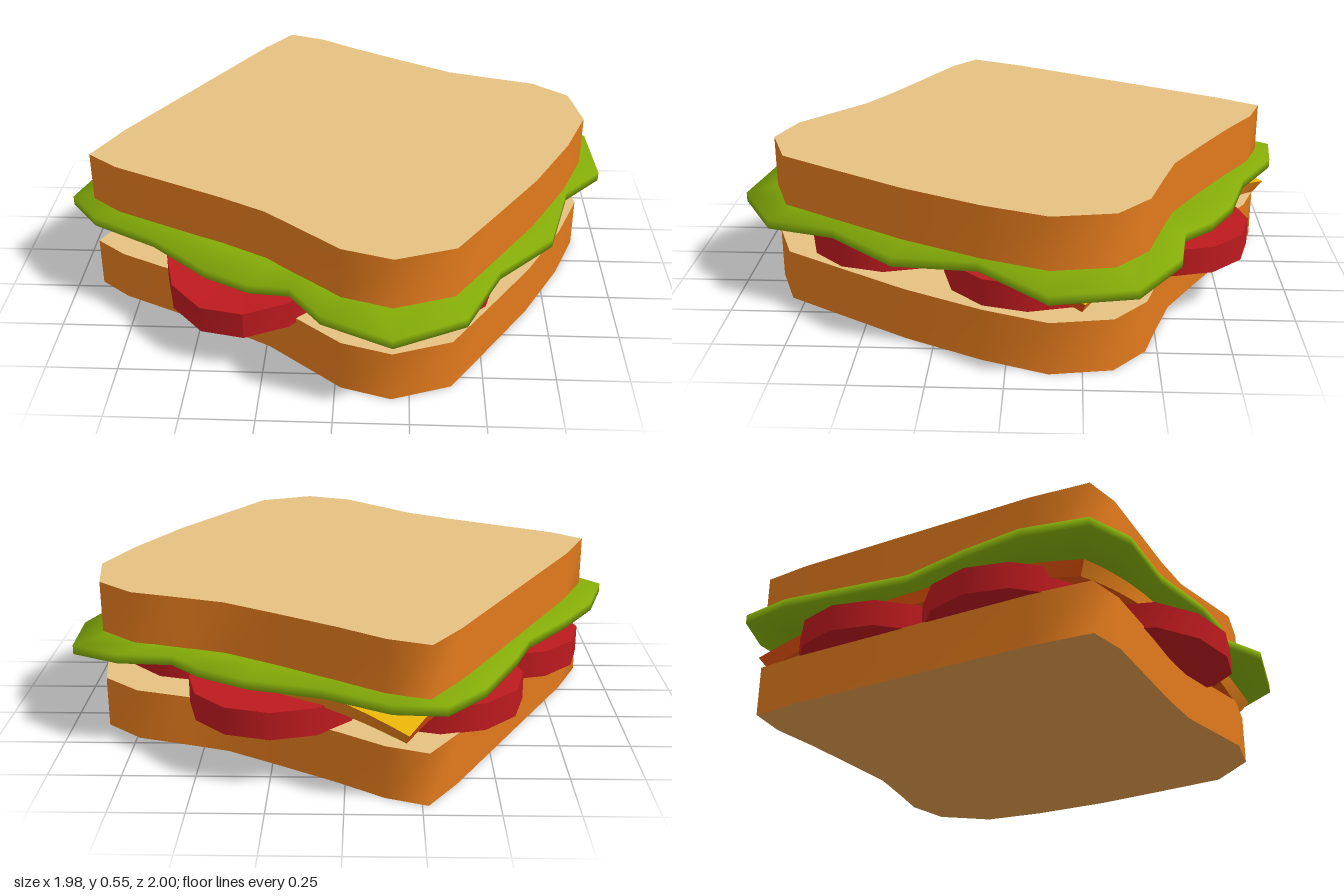
import * as THREE from 'three';
import { toCreasedNormals } from 'three/addons/utils/BufferGeometryUtils.js';

const mat = (name, color) => {
  const m = new THREE.MeshStandardMaterial({ color });
  m.name = name;
  return m;
};

// Slice outline as [x, z]
const BREAD = [
  [-0.27, -0.94], [-0.13, -0.89], [0.02, -0.79], [0.22, -0.67], [0.41, -0.56], [0.57, -0.51],
  [0.74, -0.46], [0.87, -0.35], [0.905, -0.14], [0.82, 0.08], [0.68, 0.35], [0.52, 0.6],
  [0.39, 0.8], [0.19, 0.875], [0.02, 0.82], [-0.24, 0.6], [-0.4, 0.51], [-0.8, 0.31],
  [-0.91, 0.22], [-0.82, 0.02], [-0.37, -0.79],
];

// Wavy leaf rim as [x, z, y of the underside]
const LEAF = [
  [-0.32, -1.0, 0.34], [-0.15, -0.98, 0.335], [0.07, -0.85, 0.33], [0.32, -0.78, 0.33],
  [0.49, -0.69, 0.335], [0.59, -0.59, 0.335], [0.78, -0.565, 0.33], [0.965, -0.42, 0.305],
  [0.985, -0.14, 0.287], [0.83, 0.09, 0.325], [0.75, 0.38, 0.3], [0.55, 0.61, 0.31],
  [0.43, 0.86, 0.29], [0.19, 0.995, 0.297], [-0.04, 0.92, 0.33], [-0.15, 0.77, 0.33],
  [-0.29, 0.73, 0.312], [-0.45, 0.64, 0.31], [-0.65, 0.47, 0.32], [-0.88, 0.35, 0.33],
  [-0.99, 0.21, 0.335], [-0.92, -0.01, 0.335], [-0.8, -0.19, 0.33], [-0.64, -0.39, 0.325],
  [-0.58, -0.55, 0.325], [-0.45, -0.84, 0.335],
];

// Smooth skin between closed rings of [x, y, z], listed from the bottom up
function loft(rings) {
  const n = rings[0].length, index = [];
  for (let r = 0; r < rings.length - 1; r++) {
    for (let i = 0; i < n; i++) {
      const a = r * n + i, b = r * n + (i + 1) % n;
      index.push(b, a, a + n, b, a + n, b + n);
    }
  }
  const g = new THREE.BufferGeometry();
  g.setAttribute('position', new THREE.Float32BufferAttribute(rings.flat(2), 3));
  g.setIndex(index);
  return toCreasedNormals(g, 2.4);
}

// Rectangular patch bent by a rule f(s, t), with s and t from -1 to 1
function patch(f, ns, nt) {
  const g = new THREE.PlaneGeometry(2, 2, ns, nt), p = g.attributes.position;
  for (let i = 0; i < p.count; i++) p.setXYZ(i, ...f(p.getX(i), p.getY(i)));
  g.computeVertexNormals();
  return g;
}

export function createModel() {
  const model = new THREE.Group();
  model.name = 'sandwich';
  const crust = mat('crust', 0xe27a1c);
  const crumb = mat('crumb', 0xe5c080);
  const toasted = mat('toasted underside', 0xe29c4c);
  const green = mat('lettuce green', 0x84ac08);
  const red = mat('tomato red', 0xbd1a1e);
  const yellow = mat('cheese yellow', 0xe8b408);
  const orange = mat('cheese orange', 0xe27e18);
  const deepOrange = mat('cheese deep orange', 0xde5008);

  const add = (parent, name, geometry, material) => {
    const m = new THREE.Mesh(geometry, material);
    m.name = name;
    parent.add(m);
    return m;
  };
  const group = (name) => {
    const g = new THREE.Group();
    g.name = name;
    model.add(g);
    return g;
  };

  // Bread slices: crust wall plus two flat faces
  const cap = (sign) => new THREE.ShapeGeometry(new THREE.Shape(
    BREAD.map(([x, z]) => new THREE.Vector2(x, -sign * z)))).rotateX(-sign * Math.PI / 2);
  for (const [name, y0, y1] of [['bottomBread', 0, 0.185], ['topBread', 0.367, 0.55]]) {
    const slice = group(name);
    const ring = (y) => BREAD.map(([x, z]) => [x, y, z]);
    add(slice, 'crust', loft([ring(y0), ring(y1)]), crust);
    add(slice, 'upperFace', cap(1), crumb).position.y = y1;
    add(slice, 'lowerFace', cap(-1), toasted).position.y = y0;
  }

  // Tomato slices around the sandwich
  const tomatoes = group('tomatoSlices');
  const spots = [[-0.31, 0.45], [-0.565, -0.04], [-0.31, -0.5], [0.24, -0.55], [0.53, -0.07], [0.25, 0.44]];
  spots.forEach(([x, z], i) => {
    const g = new THREE.CylinderGeometry(0.3, 0.3, 0.096, 12);
    if (i === 0) {
      // the overhanging slice sags past the bread
      const p = g.attributes.position;
      for (let k = 0; k < p.count; k++) {
        const out = Math.max(0, p.getZ(k) * 0.92 - p.getX(k) * 0.38);
        p.setY(k, p.getY(k) - 0.5 * out * out);
      }
      g.computeVertexNormals();
    }
    add(tomatoes, 'tomatoSlice', g, red).position.set(x, 0.23 + i * 0.0004, z);
  });

  // Cheese: a square sheet whose corners curl down
  const cheese = group('cheese');
  const sheet = (u, v, top) => {
    const t = Math.max(0, (Math.abs(u) + Math.abs(v) - 1.25) / 0.75);
    const k = top ? 1.02 : 1.02 - 0.04 * t;
    const y = top ? 0.332 - 0.075 * t ** 1.8 : 0.281 - 0.066 * t ** 1.8;
    return [k * (0.55 * u + 0.35 * v), y, -0.03 + k * (0.35 * u - 0.57 * v)];
  };
  add(cheese, 'cheeseTop', patch((s, t) => sheet(s, t, true), 16, 16), yellow);
  add(cheese, 'cheeseUnderside', patch((s, t) => sheet(-s, t, false), 16, 16), deepOrange);
  const sides = [
    ['frontEdge', (s) => [s, -1], orange], ['leftEdge', (s) => [1, s], deepOrange],
    ['backEdge', (s) => [-s, 1], orange], ['rightEdge', (s) => [-1, -s], deepOrange],
  ];
  for (const [name, uv, material] of sides) {
    add(cheese, name, patch((s, t) => sheet(...uv(s), t > 0), 16, 1), material);
  }

  // Lettuce leaf: flat in the middle, wavy at the rim
  const flat = (k, y) => LEAF.map(([x, z]) => [x * k, y, z * k]);
  const rim = (dy) => LEAF.map(([x, z, y]) => [x, y + dy, z]);
  add(model, 'lettuce', loft([
    flat(0, 0.335), flat(0.84, 0.335), rim(0), rim(0.033), flat(0.84, 0.369), flat(0, 0.369),
  ]), green);

  return model;
}
